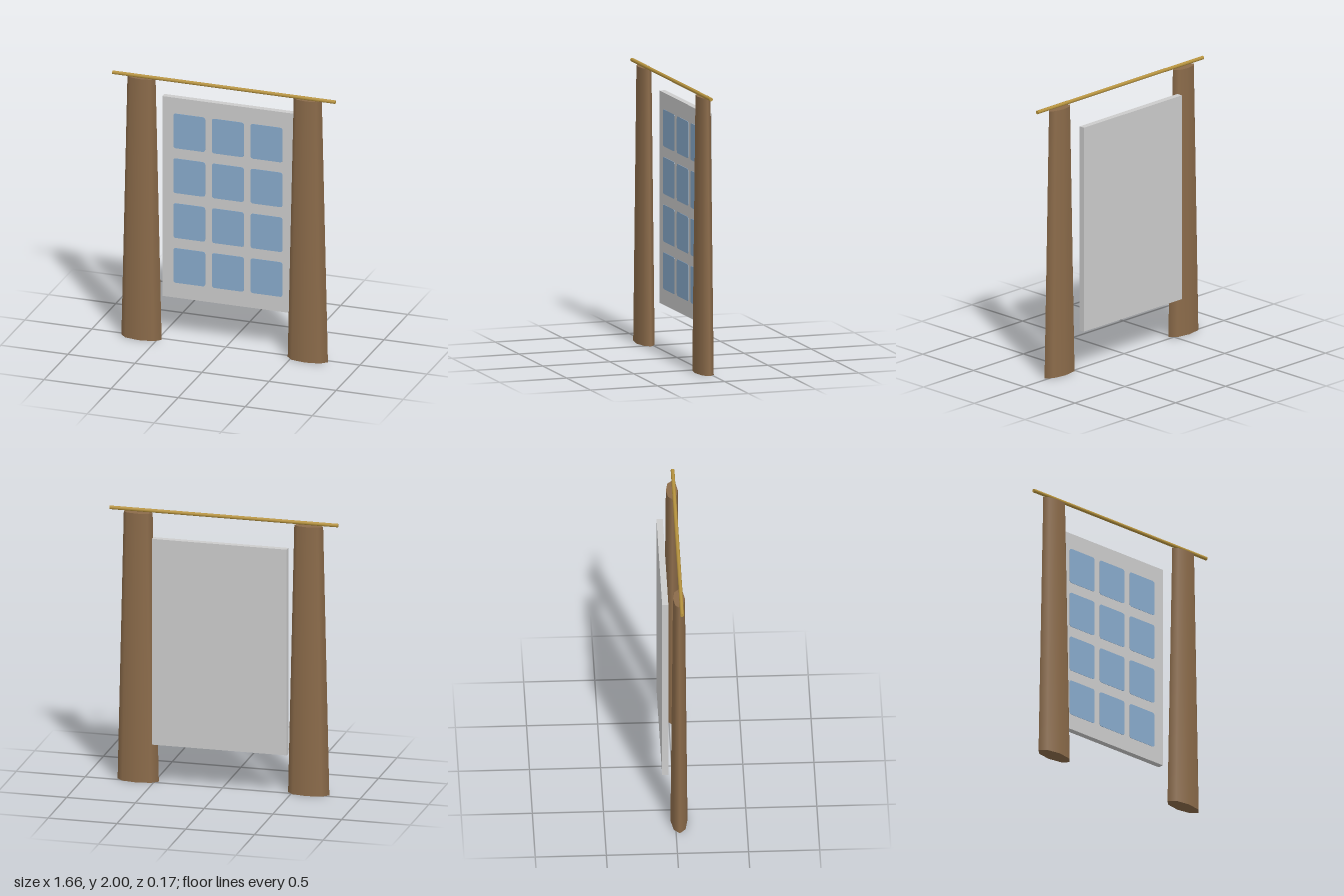
import * as THREE from 'three';

const material = (name, color) => {
  const m = new THREE.MeshStandardMaterial({ color });
  m.name = name;
  return m;
};

// Rounded rectangle centred on the origin
function roundedRect(w, h, r) {
  const s = new THREE.Shape();
  const x = w / 2, y = h / 2;
  s.moveTo(-x + r, -y);
  s.lineTo(x - r, -y).quadraticCurveTo(x, -y, x, -y + r);
  s.lineTo(x, y - r).quadraticCurveTo(x, y, x - r, y);
  s.lineTo(-x + r, y).quadraticCurveTo(-x, y, -x, y - r);
  s.lineTo(-x, -y + r).quadraticCurveTo(-x, -y, -x + r, -y);
  return s;
}

export function createModel() {
  const group = new THREE.Group();
  group.name = 'curtainedWindow';
  const fabric = material('brown fabric', 0x8b6b4a);
  const brass = material('brass', 0xb8943f);
  const frameGrey = material('frame grey', 0xcccccc);
  const glass = material('blue glass', 0x88aacc);

  const add = (name, geometry, mat, x, y, z) => {
    const mesh = new THREE.Mesh(geometry, mat);
    mesh.name = name;
    mesh.position.set(x, y, z);
    group.add(mesh);
    return mesh;
  };

  // Window panel behind the curtains
  add('windowPanel', new THREE.BoxGeometry(0.98, 1.515, 0.044), frameGrey, 0, 1.0625, -0.065);

  // Three by four grid of thin panes
  const pane = new THREE.ExtrudeGeometry(roundedRect(0.238, 0.263, 0.02),
    { depth: 0.003, bevelEnabled: false, curveSegments: 4 });
  for (let row = 0; row < 4; row++) {
    for (let col = -1; col <= 1; col++) {
      add('windowPane', pane, glass, col * 0.288, 0.55 + row * 0.34, -0.0435);
    }
  }

  // Tapered, flattened curtains
  const curtain = new THREE.CylinderGeometry(0.105, 0.15, 1.973, 8);
  curtain.scale(1, 1, 0.4);
  for (const side of [-1, 1]) {
    add(side > 0 ? 'leftCurtain' : 'rightCurtain', curtain, fabric, side * 0.62, 0.9865, 0.026);
  }

  // Curtain rod
  const rod = new THREE.CylinderGeometry(0.0135, 0.0135, 1.66, 8);
  rod.rotateZ(Math.PI / 2);
  add('curtainRod', rod, brass, 0, 1.9865, 0.04);

  return group;
}
